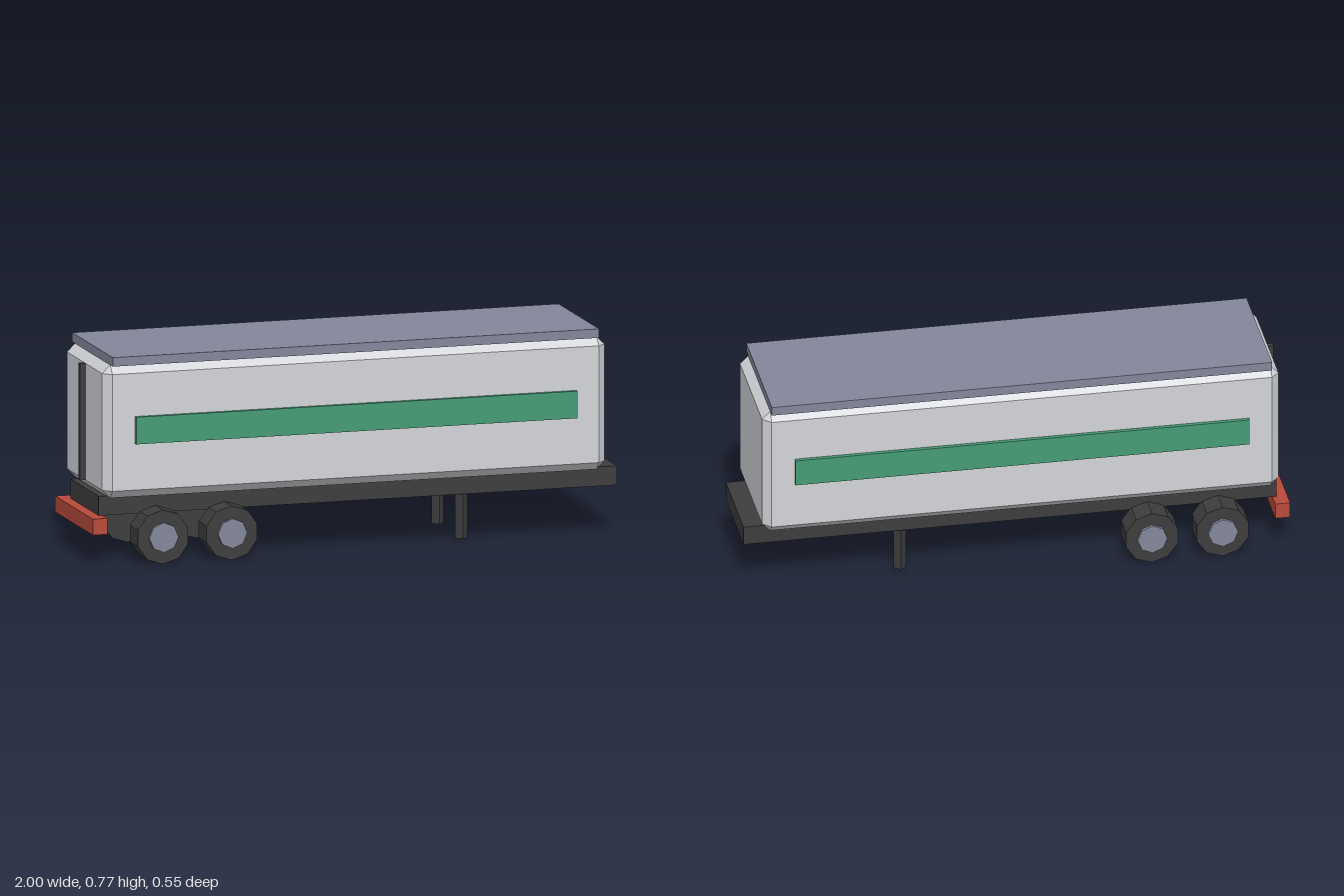
import * as THREE from 'three';
import { ConvexGeometry } from 'three/addons/geometries/ConvexGeometry.js';

function material(name, color) {
  const m = new THREE.MeshStandardMaterial({ color });
  m.name = name;
  return m;
}

// Box with every edge and corner cut off by c, centred on the origin
function chamferedBox(w, h, d, c) {
  const points = [];
  for (const sx of [-1, 1]) for (const sy of [-1, 1]) for (const sz of [-1, 1]) {
    const x = w / 2, y = h / 2, z = d / 2;
    points.push(
      new THREE.Vector3(sx * x, sy * (y - c), sz * (z - c)),
      new THREE.Vector3(sx * (x - c), sy * y, sz * (z - c)),
      new THREE.Vector3(sx * (x - c), sy * (y - c), sz * z));
  }
  return new ConvexGeometry(points);
}

export function createModel() {
  const group = new THREE.Group();
  group.name = 'boxTrailer';
  const bodyGrey = material('body grey', 0xd3d5d9);
  const slate = material('slate', 0x83879b);
  const green = material('stripe green', 0x459b76);
  const dark = material('dark grey', 0x3d3d3d);
  const red = material('bumper red', 0xb84a3c);

  function add(name, geometry, mat, x, y, z) {
    const mesh = new THREE.Mesh(geometry, mat);
    mesh.name = name;
    mesh.position.set(x, y, z);
    group.add(mesh);
    return mesh;
  }
  // Box given by its limits on each axis
  function box(name, mat, [x0, x1], [y0, y1], [z0, z1]) {
    return add(name, new THREE.BoxGeometry(x1 - x0, y1 - y0, z1 - z0), mat,
      (x0 + x1) / 2, (y0 + y1) / 2, (z0 + z1) / 2);
  }

  // Cargo body, roof and frame
  add('cargoBody', chamferedBox(1.9, 0.49, 0.49, 0.03), bodyGrey, -0.01, 0.492, 0);
  box('roof', slate, [-0.93, 0.91], [0.737, 0.77], [-0.248, 0.248]);
  box('chassis', dark, [-0.96, 1], [0.176, 0.247], [-0.173, 0.173]);
  box('rearBumper', red, [-1, -0.945], [0.117, 0.176], [-0.23, 0.23]);
  box('rearDoorSeam', dark, [-0.98, -0.955], [0.277, 0.707], [-0.01, 0.01]);

  // Parts mirrored on both sides
  const tyre = new THREE.CylinderGeometry(0.1, 0.1, 0.097, 10).toNonIndexed();
  const hub = new THREE.CylinderGeometry(0.055, 0.055, 0.03, 8).toNonIndexed();
  const leg = new THREE.CylinderGeometry(0.023, 0.023, 0.168, 4).toNonIndexed();
  for (const g of [tyre, hub]) g.rotateX(Math.PI / 2);
  for (const g of [tyre, hub, leg]) g.computeVertexNormals();

  for (const s of [-1, 1]) {
    const side = s > 0 ? 'Front' : 'Back';
    add('sideStripe' + side, new THREE.BoxGeometry(1.67, 0.1, 0.02), green, -0.01, 0.498, s * 0.25);
    add('landingLeg' + side, leg, dark, 0.42, 0.094, s * 0.145);
    [-0.745, -0.485].forEach((x, i) => {
      add(`tyre${side}${i + 1}`, tyre, dark, x, 0.102, s * 0.2165);
      add(`hub${side}${i + 1}`, hub, slate, x, 0.102, s * 0.262);
    });
  }
  return group;
}
